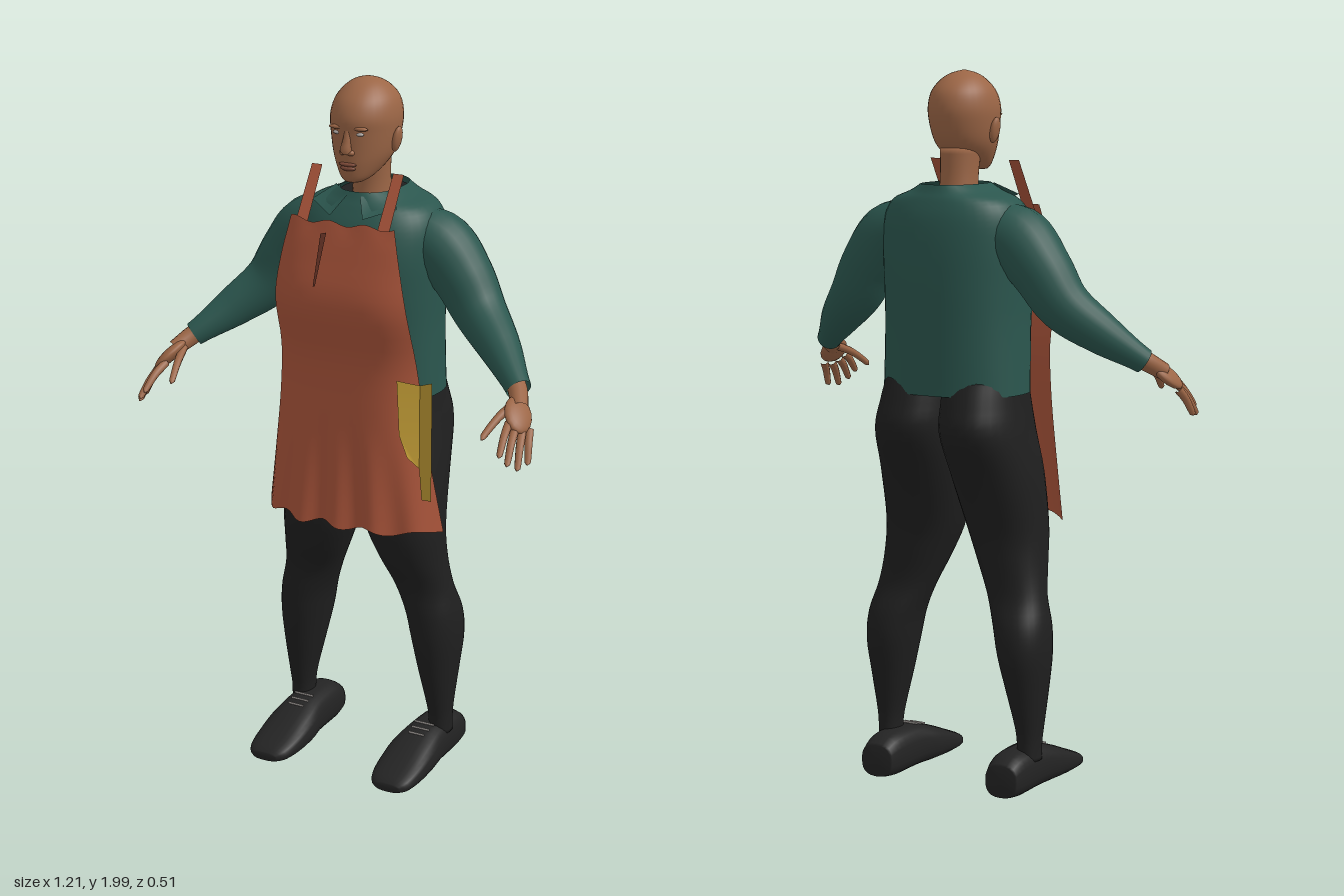
import * as THREE from 'three';

const mat = (name, color, side = THREE.FrontSide) => {
  const m = new THREE.MeshStandardMaterial({ color, side });
  m.name = name;
  return m;
};

// Smoothly subdivides rows of numbers (Catmull-Rom)
function refine(rows, k = 4) {
  const out = [], last = rows.length - 1;
  for (let i = 0; i < last; i++) {
    const [a, b, c, d] = [rows[Math.max(i - 1, 0)], rows[i], rows[i + 1], rows[Math.min(i + 2, last)]];
    for (let s = 0; s < k; s++) {
      const t = s / k;
      out.push(b.map((v, j) => v + 0.5 * t * (c[j] - a[j] + t * (2 * a[j] - 5 * v + 4 * c[j] - d[j] + t * (3 * (v - c[j]) + d[j] - a[j])))));
    }
  }
  out.push(rows[last]);
  return out;
}

// Skins a list of point rings; closed rings wrap round, caps are optional
function skin(rings, closed = true, caps = true) {
  const n = rings[0].length, pos = rings.flat(2), idx = [];
  for (let i = 0; i < rings.length - 1; i++) {
    for (let j = 0; j < (closed ? n : n - 1); j++) {
      const k = (j + 1) % n, a = i * n + j, b = i * n + k;
      idx.push(a, b, b + n, a, b + n, a + n);
    }
  }
  if (caps) {
    [rings[0], rings[rings.length - 1]].forEach((ring, e) => {
      const c = pos.length / 3, base = e * (rings.length - 1) * n;
      for (let q = 0; q < 3; q++) pos.push(ring.reduce((s, p) => s + p[q], 0) / n);
      for (let j = 0; j < n; j++) {
        const a = base + j, b = base + (j + 1) % n;
        e ? idx.push(a, b, c) : idx.push(b, a, c);
      }
    });
  }
  const g = new THREE.BufferGeometry();
  g.setAttribute('position', new THREE.Float32BufferAttribute(pos, 3));
  g.setIndex(idx);
  g.computeVertexNormals();
  return g;
}

const pw = (v, e) => Math.sign(v) * Math.abs(v) ** e;

// Upright loft, rows bottom to top: [y, centreX, halfWidth, zFront, zBack]
function loftY(rows, { n = 32, e = 1, caps = true } = {}) {
  return skin(refine(rows).map(([y, cx, rx, zf, zb]) => Array.from({ length: n }, (_, j) => {
    const a = j / n * Math.PI * 2;
    return [cx + rx * pw(Math.sin(a), e), y, (zf + zb) / 2 + (zf - zb) / 2 * pw(Math.cos(a), e)];
  })), true, caps);
}

// Tube along points [x, y, z, radius]
function limb(pts, seg = 24, sides = 16) {
  const curve = new THREE.CatmullRomCurve3(pts.map(p => new THREE.Vector3(p[0], p[1], p[2])));
  const g = new THREE.TubeGeometry(curve, seg, 1, sides), P = g.attributes.position, N = g.attributes.normal;
  const radii = refine(pts.map(p => [p[3]]), 8);
  for (let i = 0; i <= seg; i++) {
    const c = curve.getPointAt(i / seg), f = curve.getUtoTmapping(i / seg) * (radii.length - 1);
    const lo = Math.floor(f), hi = Math.min(lo + 1, radii.length - 1);
    const r = radii[lo][0] + (radii[hi][0] - radii[lo][0]) * (f - lo);
    for (let j = 0; j <= sides; j++) {
      const k = i * (sides + 1) + j;
      P.setXYZ(k, c.x + N.getX(k) * r, c.y + N.getY(k) * r, c.z + N.getZ(k) * r);
    }
  }
  return g;
}

export function createModel() {
  const D = THREE.DoubleSide;
  const skinMat = mat('skin', 0x9c6646), shirt = mat('green shirt', 0x2b564e, D), black = mat('black cloth', 0x1f1f1f);
  const rust = mat('rust apron', 0xa9543a, D), dark = mat('dark rust', 0x70382a, D), yellow = mat('yellow cloth', 0xbf9a35, D);
  const pale = mat('pale grey', 0xb4aeaa), shoeMat = mat('shoe black', 0x232323), lip = mat('lip brown', 0x7d4a38);
  const model = new THREE.Group();
  const add = (name, g, m) => {
    const mesh = new THREE.Mesh(g, m);
    mesh.name = name;
    model.add(mesh);
    return mesh;
  };
  const ball = (name, m, x, y, z, sx, sy, sz) => {
    const b = add(name, new THREE.SphereGeometry(1, 16, 12), m);
    b.position.set(x, y, z);
    b.scale.set(sx, sy, sz);
    return b;
  };

  // Head, neck and face
  add('head', loftY([[1.728, 0, 0.026, 0.06, 0.005], [1.742, 0, 0.045, 0.068, -0.04], [1.775, 0, 0.068, 0.073, -0.1],
    [1.81, 0, 0.083, 0.074, -0.132], [1.86, 0, 0.092, 0.076, -0.15], [1.9, 0, 0.094, 0.078, -0.155],
    [1.94, 0, 0.085, 0.062, -0.145], [1.97, 0, 0.064, 0.033, -0.118], [1.99, 0, 0.037, 0, -0.082], [2, 0, 0.003, -0.037, -0.043]]), skinMat);
  add('neck', loftY([[1.6, 0, 0.06, 0, -0.14], [1.7, 0, 0.052, -0.012, -0.123], [1.79, 0, 0.056, 0, -0.118]]), skinMat);
  add('nose', limb([[0, 1.87, 0.07, 0.008], [0, 1.84, 0.076, 0.012], [0, 1.818, 0.08, 0.016], [0, 1.808, 0.076, 0.004]], 12, 10), skinMat);
  ball('upperLip', lip, 0, 1.779, 0.07, 0.027, 0.006, 0.01);
  ball('lowerLip', lip, 0, 1.768, 0.068, 0.023, 0.007, 0.01);

  // Torso, open at the collar with a dark lining
  add('shirtBody', loftY([[1.125, 0, 0.208, 0.075, -0.235], [1.3, 0, 0.203, 0.09, -0.238], [1.42, 0, 0.206, 0.102, -0.241],
    [1.52, 0, 0.21, 0.1, -0.24], [1.6, 0, 0.205, 0.08, -0.232], [1.65, 0, 0.178, 0.055, -0.218], [1.675, 0, 0.12, 0.04, -0.207],
    [1.695, 0, 0.082, 0.03, -0.2]], { n: 40, e: 0.85, caps: false }), shirt);
  const lining = add('collarLining', new THREE.CircleGeometry(1, 24).rotateX(-Math.PI / 2), black);
  lining.scale.set(0.092, 1, 0.11);
  lining.position.set(0, 1.68, -0.085);

  for (const s of [1, -1]) {
    const side = s > 0 ? 'left' : 'right';
    const mx = pts => pts.map(p => [p[0] * s, ...p.slice(1)]);

    // Face details
    ball(side + 'Ear', skinMat, s * 0.094, 1.838, -0.035, 0.011, 0.036, 0.02).rotation.z = -s * 0.2;
    ball(side + 'Eye', pale, s * 0.034, 1.863, 0.066, 0.013, 0.005, 0.006);
    ball(side + 'Brow', skinMat, s * 0.035, 1.878, 0.066, 0.024, 0.006, 0.01);
    ball(side + 'Nostril', skinMat, s * 0.012, 1.812, 0.074, 0.01, 0.008, 0.01);

    // Collar flap
    const flap = [[0.02, 1.685, 0.038], [0.09, 1.695, -0.03], [0.13, 1.662, 0.035], [0.05, 1.635, 0.08]];
    const [f0, f1, f2, f3] = mx(flap);
    add(side + 'CollarFlap', skin([[f3, f2], [f0, f1]], false, false), shirt);

    // Sleeve, wrist and hand
    add(side + 'Sleeve', limb(mx([[0.12, 1.575, -0.085, 0.075], [0.2, 1.545, -0.088, 0.093], [0.27, 1.467, -0.088, 0.085],
      [0.33, 1.378, -0.075, 0.074], [0.415, 1.302, -0.025, 0.058], [0.51, 1.222, 0.052, 0.035]]), 32, 20), shirt);
    add(side + 'Wrist', limb(mx([[0.48, 1.247, 0.03, 0.026], [0.51, 1.222, 0.06, 0.027], [0.54, 1.19, 0.11, 0.024]]), 10, 12), skinMat);
    const d = new THREE.Vector3(s * 0.05, -0.075, 0.125).normalize();
    const w = new THREE.Vector3(s * 0.055, -0.04, -0.07);
    w.addScaledVector(d, -w.dot(d)).normalize();
    const palm = new THREE.SphereGeometry(1, 16, 12).scale(0.043, 0.018, 0.062);
    palm.applyMatrix4(new THREE.Matrix4().makeBasis(w, d.clone().cross(w), d)).translate(s * 0.543, 1.178, 0.125);
    add(side + 'Palm', palm, skinMat);
    const fingers = { Index: [0.535, 1.165, 0.165, 0.55, 1.103, 0.252], Middle: [0.553, 1.15, 0.165, 0.57, 1.08, 0.245],
      Ring: [0.567, 1.14, 0.15, 0.588, 1.063, 0.22], Little: [0.577, 1.142, 0.125, 0.598, 1.068, 0.178],
      Thumb: [0.515, 1.195, 0.1, 0.483, 1.13, 0.218] };
    for (const [name, [x, y, z, X, Y, Z]] of Object.entries(fingers)) {
      add(side + name + 'Finger', limb(mx([[x, y, z, 0.012], [(x + X) / 2, (y + Y) / 2 + 0.008, (z + Z) / 2, 0.011],
        [X, Y, Z, 0.008], [X, Y - 0.004, Z + 0.004, 0.001]]), 12, 8), skinMat);
    }

    // Trouser leg with its half of the hips
    const leg = [[0.1, 0.195, 0.26, -0.03, -0.11], [0.15, 0.195, 0.26, -0.028, -0.11], [0.2, 0.188, 0.264, -0.018, -0.117],
      [0.3, 0.165, 0.275, 0.002, -0.14], [0.4, 0.143, 0.284, 0.018, -0.162], [0.48, 0.125, 0.28, 0.022, -0.156],
      [0.56, 0.094, 0.262, 0.024, -0.128], [0.65, 0.055, 0.25, 0.06, -0.125], [0.75, 0.018, 0.245, 0.085, -0.135],
      [0.9, -0.008, 0.235, 0.09, -0.195], [1.02, -0.012, 0.218, 0.08, -0.256], [1.1, -0.012, 0.205, 0.07, -0.242], [1.17, -0.012, 0.195, 0.06, -0.215]];
    add(side + 'TrouserLeg', loftY(leg.map(([y, a, b, f, r]) => [y, s * (a + b) / 2, (b - a) / 2, f, r]), { e: 0.92 }), black);

    // Shoe: sections along z [z, inner x, outer x, bottom y, top y]
    const shoe = [[-0.19, 0.155, 0.25, 0.015, 0.105], [-0.14, 0.145, 0.257, 0.008, 0.13], [-0.03, 0.138, 0.262, 0.01, 0.132],
      [0.05, 0.126, 0.27, 0.01, 0.113], [0.13, 0.127, 0.27, 0.012, 0.082], [0.19, 0.14, 0.26, 0.015, 0.058], [0.213, 0.165, 0.238, 0.02, 0.042]];
    add(side + 'Shoe', skin(refine(shoe).map(([z, a, b, lo, hi]) => Array.from({ length: 24 }, (_, j) => {
      const t = j / 24 * Math.PI * 2;
      return [s * (a + b) / 2 + (b - a) / 2 * pw(Math.cos(t), 0.75), (lo + hi) / 2 + (hi - lo) / 2 * pw(Math.sin(t), 0.75), z];
    }))), shoeMat);
    for (let i = 0; i < 3; i++) {
      const lace = add(side + 'Lace', new THREE.CylinderGeometry(0.003, 0.003, 0.06 - i * 0.006, 6).rotateZ(Math.PI / 2), pale);
      lace.position.set(s * 0.2, 0.133 - i * 0.006, -0.02 + i * 0.025);
    }

    // Apron strap, a thin slanted band
    add(side + 'ApronStrap', skin([[[s * 0.125 - 0.018, 1.61, 0.105], [s * 0.125 + 0.018, 1.61, 0.105]],
      [[s * 0.125 - 0.016, 1.755, 0.015], [s * 0.125 + 0.016, 1.755, 0.015]]], false, false), rust);
  }

  // Apron rows: [y, half width, z at middle, z at edge], folds deepen toward the hem
  const apron = [[0.765, 0.277, 0.14, 0.03], [0.95, 0.246, 0.135, 0.045], [1.1, 0.226, 0.13, 0.052], [1.25, 0.211, 0.13, 0.07],
    [1.4, 0.203, 0.162, 0.115], [1.53, 0.18, 0.137, 0.115], [1.625, 0.158, 0.112, 0.1]];
  add('apron', skin(refine(apron).map(([y, hw, zf, ze]) => Array.from({ length: 49 }, (_, j) => {
    const u = j / 24 - 1, low = Math.max(0, (1.05 - y) / 0.285);
    const fold = Math.cos(u * 15) * 0.011 * low * (1 - u * u * 0.5);
    return [u * hw, y + low * low * 0.008 * Math.cos(u * 13 + 2) + (y > 1.6 ? 0.006 * Math.cos(u * 9 + 2) : 0), zf + (ze - zf) * u ** 4 + fold];
  })), false, false), rust);
  add('bibCrease', skin([[[-0.058, 1.455, 0.161], [-0.052, 1.455, 0.161]], [[-0.052, 1.595, 0.128], [-0.034, 1.6, 0.128]]], false, false), dark);

  // Folded cloth hanging at the hip
  const panels = [[[0.182, 1.215], [0.235, 1.2], [0.235, 0.96], [0.215, 1.0], [0.19, 1.06]],
    [[0.235, 1.2], [0.283, 1.22], [0.283, 0.88], [0.243, 0.87], [0.235, 0.96]]];
  panels.forEach((p, i) => {
    const g = new THREE.ShapeGeometry(new THREE.Shape(p.map(q => new THREE.Vector2(...q))));
    const P = g.attributes.position;
    for (let k = 0; k < P.count; k++) P.setZ(k, P.getX(k) < 0.23 ? 0.128 : P.getX(k) < 0.25 ? 0.094 : 0.115);
    g.computeVertexNormals();
    add(i ? 'clothOuterFold' : 'clothInnerFold', g, yellow);
  });
  return model;
}
